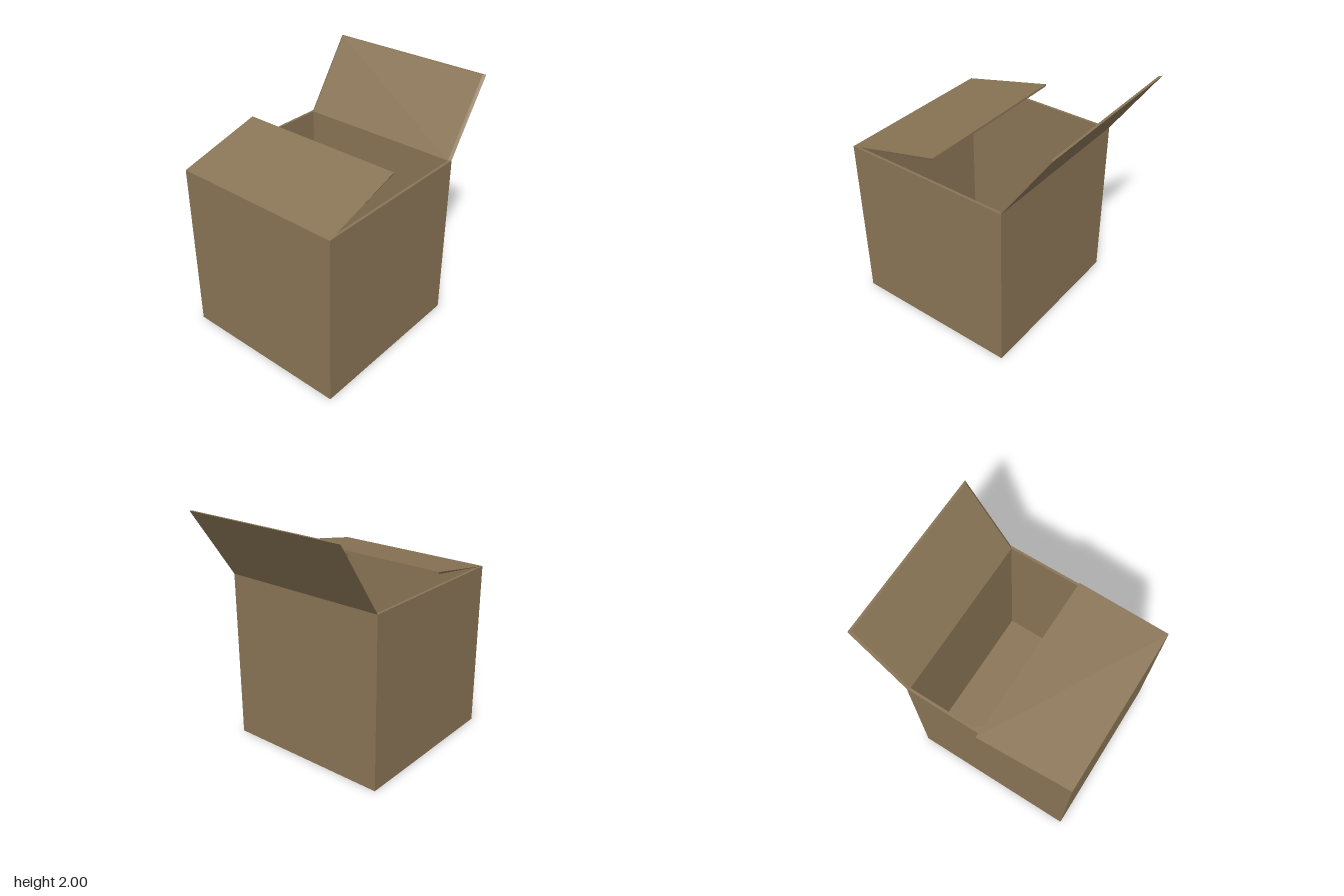
import * as THREE from 'three';

const cardboard = new THREE.MeshStandardMaterial({ color: 0x8a7556 });
cardboard.name = 'cardboard';

const X0 = -0.907, X1 = 0.515, BACK = -0.68, FRONT = 0.743, H = 1.424, T = 0.021;

function rect(path, x0, x1, y0, y1) {
  path.moveTo(x0, y0).lineTo(x1, y0).lineTo(x1, y1).lineTo(x0, y1).closePath();
  return path;
}

function part(name, geometry) {
  const mesh = new THREE.Mesh(geometry, cardboard);
  mesh.name = name;
  return mesh;
}

// Flap: each face (top, bottom) is [hinge x, hinge y, tip x, tip y, z inset]; skew slides the tip in z.
function flap(name, top, bottom, skew) {
  const geometry = new THREE.BoxGeometry(1, 1, 1).toNonIndexed();
  const p = geometry.attributes.position;
  for (let i = 0; i < p.count; i++) {
    const [hx, hy, tx, ty, inset] = p.getY(i) > 0 ? top : bottom;
    const tip = p.getX(i) > 0;
    const z = (p.getZ(i) > 0 ? FRONT - inset : BACK + inset) + (tip ? skew : 0);
    p.setXYZ(i, tip ? tx : hx, tip ? ty : hy, z);
  }
  geometry.computeVertexNormals();
  return part(name, geometry);
}

export function createModel() {
  const model = new THREE.Group();
  model.name = 'openBox';

  // Four walls as one hollow square tube
  const outline = rect(new THREE.Shape(), X0, X1, -FRONT, -BACK);
  outline.holes.push(rect(new THREE.Path(), X0 + T, X1 - T, -FRONT + T, -BACK - T));
  const walls = new THREE.ExtrudeGeometry(outline, { depth: H, bevelEnabled: false });
  walls.rotateX(-Math.PI / 2);
  model.add(part('walls', walls));

  // Floor inside the walls
  const floor = new THREE.BoxGeometry(X1 - X0 - 2 * T, T, FRONT - BACK - 2 * T);
  floor.translate((X0 + X1) / 2, T / 2, (FRONT + BACK) / 2);
  model.add(part('floor', floor));

  // Half-closed, skewed flap and wide-open flap
  model.add(flap('rightFlap', [X0, H, -0.145, 1.576, 0], [X0 + T, H, -0.145, 1.558, 0.008], -0.064));
  model.add(flap('leftFlap', [X1 - T, H, 0.886, 2, T], [X1, H, 0.905, 2, 0], 0));
  return model;
}
